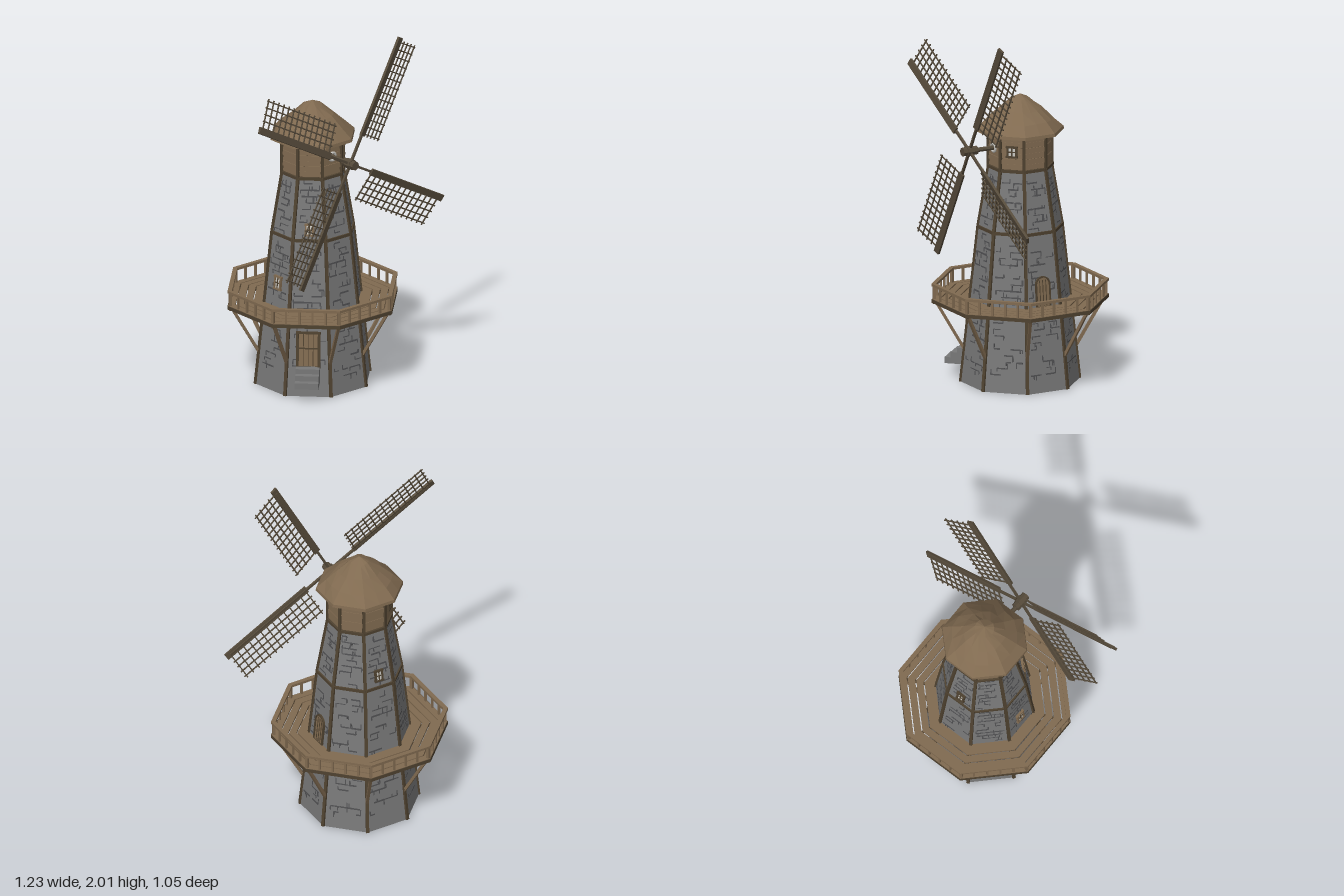
import * as THREE from 'three';
import { mergeGeometries } from 'three/addons/utils/BufferGeometryUtils.js';

const mat = (name, color) => {
  const m = new THREE.MeshStandardMaterial({ color });
  m.name = name;
  return m;
};
const C8 = Math.cos(Math.PI / 8);

export function createModel() {
  const stone = mat('stone grey', 0x787878);
  const mortar = mat('dark mortar', 0x505052);
  const timber = mat('dark timber', 0x4f4230);
  const wood = mat('plank brown', 0x806a50);
  const sailWood = mat('sail brown', 0x564b3b);
  const pane = mat('pale pane', 0xc8c6c0);

  const root = new THREE.Group();
  root.name = 'windmill';
  const mill = new THREE.Group();
  mill.name = 'mill';
  mill.position.set(-0.125, 0, -0.04);
  root.add(mill);

  let seed = 7;
  const rnd = () => (seed = (seed * 16807) % 2147483647) / 2147483647;

  // ---- helpers ----
  const put = (parent, name, geo, m, x = 0, y = 0, z = 0) => {
    const o = new THREE.Mesh(geo, m);
    o.name = name;
    o.position.set(x, y, z);
    parent.add(o);
    return o;
  };
  const box = (parent, name, m, w, h, d, x, y, z) =>
    put(parent, name, new THREE.BoxGeometry(w, h, d), m, x, y, z);
  const flat = (g) => {
    const n = g.index ? g.toNonIndexed() : g;
    n.computeVertexNormals();
    return n;
  };
  const spin = (name, angle) => {
    const g = new THREE.Group();
    g.name = name;
    g.rotation.y = angle;
    mill.add(g);
    return g;
  };
  const corner = (i, name) => spin(name, i * Math.PI / 4);
  const face = (i, name) => spin(name, (i + 0.5) * Math.PI / 4);
  // beam between two points of the local y-z plane
  const beam = (parent, name, m, w, y0, z0, y1, z1) => {
    const o = box(parent, name, m, w, Math.hypot(y1 - y0, z1 - z0), w, 0, (y0 + y1) / 2, (z0 + z1) / 2);
    o.rotation.x = Math.atan2(z1 - z0, y1 - y0);
  };
  const octagon = (r, P) => {
    const p = new P();
    for (let k = 0; k < 8; k++) {
      const a = k * Math.PI / 4;
      p[k ? 'lineTo' : 'moveTo'](r * Math.cos(a), r * Math.sin(a));
    }
    p.closePath();
    return p;
  };
  const octRing = (name, m, rOut, rIn, y, h) => {
    const s = octagon(rOut, THREE.Shape);
    s.holes.push(octagon(rIn, THREE.Path));
    const g = new THREE.ExtrudeGeometry(s, { depth: h, bevelEnabled: false });
    g.rotateX(-Math.PI / 2);
    put(mill, name, g, m, 0, y, 0);
  };
  const drum = (name, m, r0, r1, y0, y1) =>
    put(mill, name, flat(new THREE.CylinderGeometry(r1, r0, y1 - y0, 8)), m, 0, (y0 + y1) / 2, 0);

  // ---- stone tower in two tapering storeys ----
  const storeys = [[0, 0.33, 0.88, 0.234, 42], [0.88, 0.234, 1.22, 0.176, 18]];
  const panels = [];
  for (const [y0, r0, y1, r1, count] of storeys) {
    drum('towerWall', stone, r0, r1, y0, y1);
    const slope = Math.atan2((r0 - r1) * C8, y1 - y0);
    const row = [];
    for (let i = 0; i < 8; i++) {
      beam(corner(i, 'towerCorner'), 'cornerBeam', timber, 0.018, y0, r0 - 0.002, y1, r1 - 0.002);
      const panel = new THREE.Group();
      panel.name = 'wallPanel';
      panel.position.set(0, y0, r0 * C8);
      panel.rotation.x = -slope;
      face(i, 'towerFace').add(panel);
      row.push(panel);
      // broken mortar joints: a bed joint with a short upright at one end
      const parts = [];
      for (let k = 0; k < count; k++) {
        const low = y0 ? 0.03 : 0.1;
        const h = low + Math.round(rnd() * (y1 - y0 - low - 0.03) / 0.036) * 0.036;
        const half = 0.36 * (r0 + (r1 - r0) * h / (y1 - y0));
        const len = 0.025 + rnd() * 0.04, t = 0.004 + rnd() * 0.006, up = 0.015 + rnd() * 0.02;
        const x = (rnd() * 2 - 1) * (half - len / 2 - 0.01);
        const end = rnd() < 0.5 ? -1 : 1, dir = rnd() < 0.5 ? -1 : 1;
        parts.push(new THREE.BoxGeometry(len, t, 0.004).translate(x, h, 0));
        parts.push(new THREE.BoxGeometry(0.006, up, 0.004).translate(x + end * len / 2, h + dir * up / 2, 0));
      }
      put(panel, 'mortarJoints', mergeGeometries(parts), mortar);
    }
    panels.push(row);
  }
  octRing('middleBeamRing', timber, 0.242, 0.2, 0.871, 0.017);
  octRing('capSill', timber, 0.186, 0.15, 1.215, 0.016);

  // ---- plank cap ----
  drum('capCore', timber, 0.171, 0.171, 1.22, 1.43);
  for (let k = 0; k < 6; k++) {
    const r = 0.174 + (k % 2) * 0.003;
    drum('capPlank', wood, r + 0.002, r, 1.233 + k * 0.031, 1.262 + k * 0.031);
  }
  for (let i = 0; i < 8; i++) beam(corner(i, 'capCorner'), 'capPost', timber, 0.016, 1.22, 0.176, 1.43, 0.176);
  octRing('capHeader', timber, 0.184, 0.15, 1.415, 0.014);

  // ---- roof with an octagonal eave and a rough crown ----
  const profile = [[0.15, 1.425], [0.243, 1.418], [0.24, 1.435], [0.185, 1.487], [0.12, 1.545], [0.055, 1.598], [0, 1.625]]
    .map(([r, y]) => new THREE.Vector2(r, y));
  const roof = new THREE.LatheGeometry(profile, 16);
  const rp = roof.attributes.position;
  for (let s = 0; s <= 16; s++) {
    for (let j = 0; j < 7; j++) {
      const v = s * 7 + j, k = s % 2 ? C8 : 1;
      const wob = j > 2 && j < 6 ? Math.sin((s % 16) * 5.1 + j * 2.7) * 0.005 : 0;
      const mix = 1 + (k - 1) * (j < 3 ? 1 : 0.45);
      rp.setXYZ(v, rp.getX(v) * mix, rp.getY(v) + wob, rp.getZ(v) * mix);
    }
  }
  put(mill, 'roof', flat(roof), wood);

  // ---- balcony ----
  for (const [a, b] of [[0.342, 0.25], [0.389, 0.349], [0.438, 0.396], [0.487, 0.445]])
    octRing('deckPlank', wood, a, b, 0.462, 0.012);
  octRing('deckRim', timber, 0.49, 0.472, 0.452, 0.02);
  octRing('handrail', wood, 0.49, 0.464, 0.546, 0.014);
  for (let i = 0; i < 8; i++) {
    const c = corner(i, 'balconyCorner');
    box(c, 'deckJoist', timber, 0.012, 0.018, 0.22, 0, 0.454, 0.37);
    box(c, 'railPost', wood, 0.016, 0.095, 0.016, 0, 0.51, 0.474);
    beam(c, 'brace', wood, 0.016, 0.19, 0.312, 0.452, 0.462);
    const f = face(i, 'balconySide');
    for (let k = -1.5; k < 2; k++) box(f, 'baluster', wood, 0.011, 0.08, 0.011, k * 0.073, 0.507, 0.478 * C8);
  }

  // ---- doors and windows ----
  const windowAt = (parent, frame, w, h, x, y, z) => {
    const g = new THREE.Group();
    g.name = 'window';
    g.position.set(x, y, z);
    parent.add(g);
    box(g, 'windowPane', pane, w, h, 0.008, 0, 0, 0.002);
    for (const s of [-1, 1]) {
      box(g, 'windowJamb', frame, 0.01, h + 0.01, 0.016, s * w / 2, 0, 0.003);
      box(g, 'windowRail', frame, w + 0.016, 0.01, 0.018, 0, s * h / 2, 0.003);
    }
    box(g, 'windowMullion', timber, 0.006, h, 0.012, 0, 0, 0.003);
    box(g, 'windowBar', timber, w, 0.006, 0.012, 0, 0, 0.003);
  };
  windowAt(panels[0][6], wood, 0.045, 0.07, 0, 0.615, 0.002);
  windowAt(panels[1][7], wood, 0.04, 0.06, 0, 0.06, 0.002);
  windowAt(panels[1][4], timber, 0.04, 0.06, 0, 0.072, 0.002);
  for (const i of [1, 5]) windowAt(face(i, 'capFace'), timber, 0.05, 0.055, 0, 1.335, 0.166);

  // plank door at ground level with stone steps
  const door = new THREE.Group();
  door.name = 'frontDoor';
  door.position.set(0, 0.265, 0.002);
  panels[0][7].add(door);
  box(door, 'doorBack', timber, 0.11, 0.19, 0.012, 0, 0, 0);
  for (let k = -1.5; k < 2; k++) box(door, 'doorPlank', wood, 0.023, 0.18, 0.018, k * 0.0268, 0, 0);
  for (const s of [-1, 1]) box(door, 'doorJamb', timber, 0.014, 0.2, 0.026, s * 0.06, 0, 0);
  box(door, 'doorLintel', timber, 0.136, 0.012, 0.028, 0, 0.098, 0);
  box(door, 'doorBatten', timber, 0.11, 0.008, 0.022, 0, 0.01, 0);
  const stairs = face(7, 'stairs');
  [[0.08, 0.115, 0.412], [0.115, 0.145, 0.377], [0.145, 0.172, 0.342]].forEach(([a, b, out]) =>
    box(stairs, 'step', stone, 0.13, b - a, out - 0.25, 0, (a + b) / 2, (out + 0.25) / 2));

  // arched balcony door
  const arch = (w, h, P) => {
    const p = new P();
    p.moveTo(-w, 0);
    p.lineTo(w, 0);
    p.lineTo(w, h);
    p.absarc(0, h, w, 0, Math.PI, false);
    p.lineTo(-w, 0);
    return p;
  };
  const extrude = (s, depth) => new THREE.ExtrudeGeometry(s, { depth, bevelEnabled: false, curveSegments: 8 });
  const frame = arch(0.046, 0.123, THREE.Shape);
  frame.holes.push(arch(0.038, 0.123, THREE.Path));
  put(panels[0][2], 'archFrame', extrude(frame, 0.012), timber, 0, 0.478, 0);
  put(panels[0][2], 'archDoor', extrude(arch(0.039, 0.123, THREE.Shape), 0.006), wood, 0, 0.478, 0);
  for (let k = -1; k <= 1; k++)
    box(panels[0][2], 'archDoorGap', timber, 0.004, 0.145, 0.003, k * 0.019, 0.553, 0.007);

  // ---- wind shaft, hub and sails ----
  const head = face(0, 'sailAssembly');
  const rod = (name, m, r, z0, z1, sides) =>
    put(head, name, flat(new THREE.CylinderGeometry(r, r, z1 - z0, sides).rotateX(Math.PI / 2)), m, 0, 1.34, (z0 + z1) / 2);
  put(head, 'shaftBearing', new THREE.TorusGeometry(0.022, 0.008, 6, 16), pane, 0, 1.34, 0.168);
  rod('shaft', sailWood, 0.013, 0.15, 0.3, 8);
  rod('hub', sailWood, 0.025, 0.275, 0.365, 8);
  rod('hubCollar', sailWood, 0.03, 0.3, 0.34, 8);
  for (let k = 0; k < 4; k++) {
    const arm = new THREE.Group();
    arm.name = 'sail';
    arm.position.set(0, 1.34, 0.32);
    arm.rotation.z = -(28.5 + 90 * k) * Math.PI / 180;
    head.add(arm);
    box(arm, 'spar', sailWood, 0.013, 0.72, 0.013, 0, 0.36, 0);
    const blade = new THREE.Group();
    blade.name = 'blade';
    blade.rotation.y = k === 2 ? -0.24 : 0.24;
    arm.add(blade);
    box(blade, 'sailBoard', sailWood, 0.038, 0.58, 0.014, 0, 0.457, 0.004);
    for (let j = 0; j < 14; j++) box(blade, 'crossLath', sailWood, 0.175, 0.0065, 0.006, 0.097, 0.18 + j * 0.0415, 0);
    for (let j = 0; j < 4; j++) box(blade, 'longLath', sailWood, 0.0065, 0.565, 0.006, 0.056 + j * 0.038, 0.45, 0.003);
  }
  return root;
}
